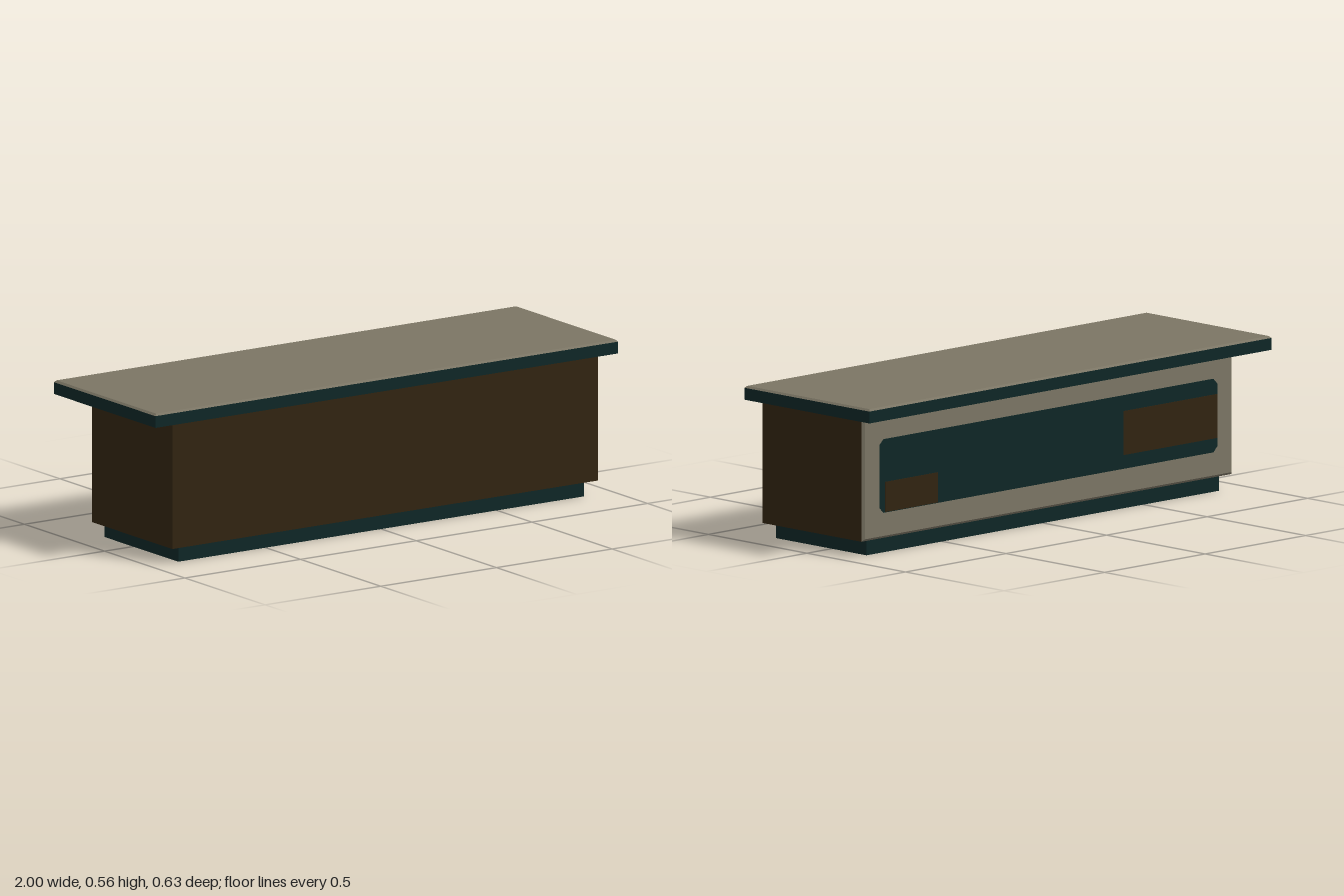
import * as THREE from 'three';

const wood = new THREE.MeshStandardMaterial({ color: 0x312411 });
wood.name = 'dark brown wood';
const teal = new THREE.MeshStandardMaterial({ color: 0x0e2626 });
teal.name = 'dark teal';
const stone = new THREE.MeshStandardMaterial({ color: 0x7b7564 });
stone.name = 'beige stone';

// Box given by its lower and upper corners
function block(name, material, [x0, y0, z0], [x1, y1, z1]) {
  const geometry = new THREE.BoxGeometry(x1 - x0, y1 - y0, z1 - z0);
  geometry.translate((x0 + x1) / 2, (y0 + y1) / 2, (z0 + z1) / 2);
  const mesh = new THREE.Mesh(geometry, material);
  mesh.name = name;
  return mesh;
}

// Thin slab in the XY plane whose +z face is inset on every side
function bevelPlate(name, material, width, height, depth, inset) {
  const geometry = new THREE.BoxGeometry(width, height, depth).toNonIndexed();
  geometry.translate(0, 0, depth / 2);
  const p = geometry.attributes.position;
  for (let i = 0; i < p.count; i++) {
    if (p.getZ(i) < depth / 2) continue;
    p.setX(i, p.getX(i) - Math.sign(p.getX(i)) * inset);
    p.setY(i, p.getY(i) - Math.sign(p.getY(i)) * inset);
  }
  geometry.computeVertexNormals();
  const mesh = new THREE.Mesh(geometry, material);
  mesh.name = name;
  return mesh;
}

// Thin panel with clipped corners
function clippedPanel(name, material, x0, x1, y0, y1, c, depth) {
  const shape = new THREE.Shape([
    [x0 + c, y0], [x1 - c, y0], [x1, y0 + c], [x1, y1 - c],
    [x1 - c, y1], [x0 + c, y1], [x0, y1 - c], [x0, y0 + c],
  ].map(([x, y]) => new THREE.Vector2(x, y)));
  const mesh = new THREE.Mesh(new THREE.ExtrudeGeometry(shape, { depth, bevelEnabled: false }), material);
  mesh.name = name;
  return mesh;
}

export function createModel() {
  const model = new THREE.Group();
  model.name = 'counter';

  // Plinth, body and overhanging top
  model.add(block('plinth', teal, [-0.877, 0, -0.177], [0.877, 0.057, 0.282]));
  model.add(block('body', wood, [-0.92, 0.057, -0.195], [0.92, 0.512, 0.307]));
  model.add(block('topSlab', teal, [-1, 0.512, -0.317], [1, 0.555, 0.317]));

  // Bevelled stone surface on the slab
  const worktop = bevelPlate('worktop', stone, 2, 0.634, 0.007, 0.007);
  worktop.rotation.x = -Math.PI / 2;
  worktop.position.y = 0.555;
  model.add(worktop);

  // Bevelled stone frame on the back
  const frame = bevelPlate('backFrame', stone, 1.84, 0.455, 0.009, 0.009);
  frame.rotation.y = Math.PI;
  frame.position.set(0, 0.2845, -0.195);
  model.add(frame);

  // Dark back panel with two brown patches
  const panel = clippedPanel('backPanel', teal, -0.84, 0.84, 0.15, 0.416, 0.02, 0.002);
  panel.position.z = -0.2055;
  model.add(panel);
  model.add(block('smallBackPatch', wood, [0.55, 0.152, -0.207], [0.813, 0.261, -0.205]));
  model.add(block('largeBackPatch', wood, [-0.84, 0.2, -0.207], [-0.372, 0.359, -0.205]));

  return model;
}
